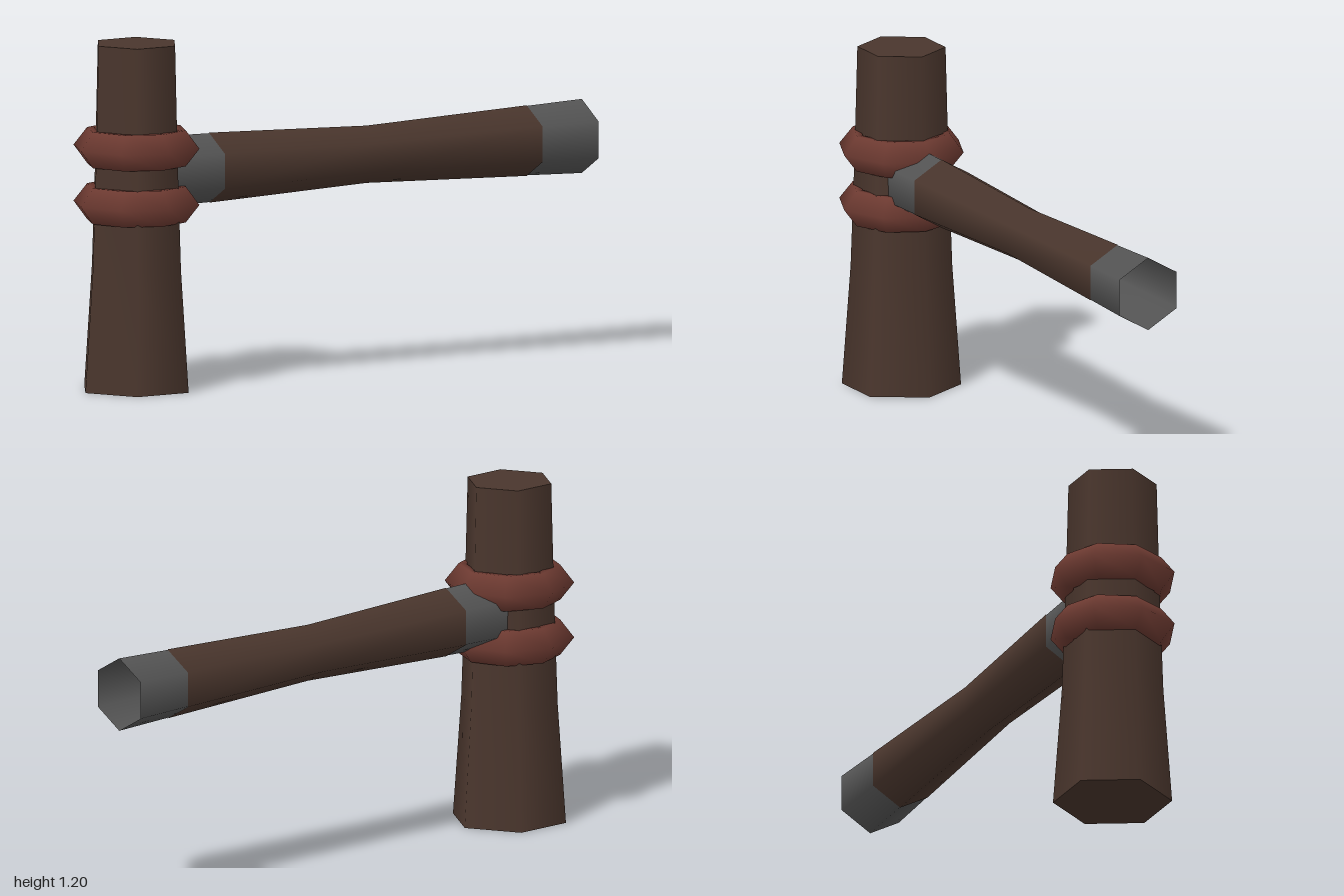
import * as THREE from 'three';

const HEAD_X = -0.78, HANDLE_Y = 0.743;

const material = (name, color, side = THREE.FrontSide) => {
  const m = new THREE.MeshStandardMaterial({ color, side });
  m.name = name;
  return m;
};

// Lathe around y, first corner on +x
const turned = (points, sides) => new THREE.LatheGeometry(
  points.map(([r, y]) => new THREE.Vector2(r, y)), sides, Math.PI / 2);

export function createModel() {
  const group = new THREE.Group();
  const wood = material('brown wood', 0x4a362d);
  const red = material('dark red binding', 0x6d3a31);
  const grey = material('grey metal', 0x555555, THREE.DoubleSide);

  const add = (name, geometry, mat, x = 0, y = 0) => {
    const mesh = new THREE.Mesh(geometry, mat);
    mesh.name = name;
    mesh.position.set(x, y, 0);
    group.add(mesh);
  };

  // Six-sided head, flared at the foot, with flat end caps
  add('head', turned([[0.204, 0], [0.174, 0.42], [0.161, 0.8], [0.151, 1.195]], 6), wood, HEAD_X);
  add('headTop', new THREE.CircleGeometry(0.151, 6).rotateX(-Math.PI / 2), wood, HEAD_X, 1.195);
  add('headBottom', new THREE.CircleGeometry(0.204, 6).rotateX(Math.PI / 2), wood, HEAD_X);

  // Two eight-sided bindings above and below the handle
  const ring = [[0.15, -0.062], [0.174, -0.062], [0.222, 0], [0.174, 0.062],
    [0.15, 0.062], [0.12, 0], [0.15, -0.062]];
  for (const [name, y] of [['lowerBinding', 0.643], ['upperBinding', 0.837]]) {
    add(name, turned(ring, 8), red, HEAD_X, y);
  }

  // Open waisted handle tube, its bare ends showing beyond the wooden sleeve
  const tube = [[0.123, -0.7], [0.119, -0.49], [0.097, 0.14], [0.12, 0.78], [0.128, 1]];
  const sleeve = tube.slice(1, 4).map(([r, x]) => [r + 0.002, x]);
  add('handleTube', turned(tube, 6).rotateZ(-Math.PI / 2), grey, 0, HANDLE_Y);
  add('handleSleeve', turned(sleeve, 6).rotateZ(-Math.PI / 2), wood, 0, HANDLE_Y);

  return group;
}
